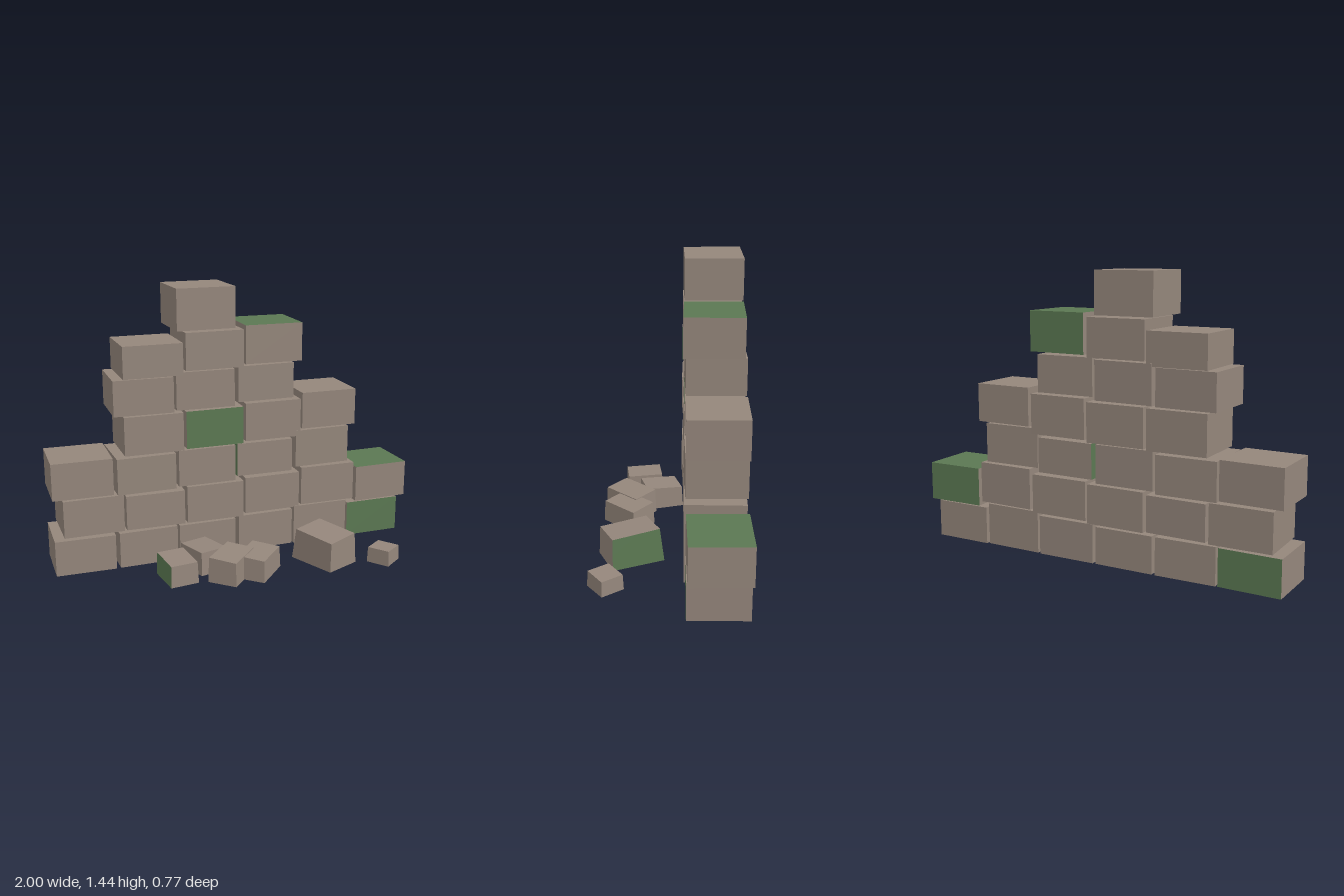
import * as THREE from 'three';

const stone = new THREE.MeshStandardMaterial({ color: 0x94867b });
stone.name = 'stone';
const moss = new THREE.MeshStandardMaterial({ color: 0x5b7852 });
moss.name = 'moss';

// Box face order, used to say which faces are mossy
const FACES = ['right+x', 'left-x', 'top', 'bottom', 'front', 'back'];

function faceMaterials(mossy) {
  return FACES.map((f) => (mossy.some((m) => f.startsWith(m)) ? moss : stone));
}

// A block standing on its base; the top may be narrowed, shifted and sloped
function block(name, [w, h, d], mossy = [], top = {}) {
  const { scale = 1, dx = 0, dz = 0, slopeX = 0, slopeZ = 0 } = top;
  const geo = new THREE.BoxGeometry(w, h, d).translate(0, h / 2, 0);
  const p = geo.attributes.position;
  for (let i = 0; i < p.count; i++) {
    if (p.getY(i) < h / 2) continue;
    const x = p.getX(i), z = p.getZ(i);
    p.setXYZ(i, x * scale + dx, h + x * slopeX + z * slopeZ, z * scale + dz);
  }
  geo.computeVertexNormals();
  const mesh = new THREE.Mesh(geo, faceMaterials(mossy));
  mesh.name = name;
  return mesh;
}

// Courses from the ground up: [x centre, bottom, top, yaw, z centre, mossy faces]
const COURSES = [
  [
    [-0.845, 0, 0.187, -0.02, -0.228, ['back']],
    [-0.517, 0, 0.19, 0.02, -0.23],
    [-0.19, 0, 0.19, 0, -0.232],
    [0.14, 0, 0.2, 0.01, -0.235],
    [0.465, 0, 0.217, -0.01, -0.23],
    [0.79, 0, 0.195, 0, -0.237, ['front']],
  ],
  [
    [-0.797, 0.2, 0.397, 0.005, -0.235],
    [-0.47, 0.203, 0.387, -0.02, -0.228],
    [-0.143, 0.2, 0.4, -0.01, -0.232],
    [0.18, 0.212, 0.412, 0.005, -0.235],
    [0.508, 0.223, 0.435, -0.02, -0.23],
    [0.838, 0.2, 0.4, 0.02, -0.24, ['top', 'back']],
  ],
  [
    [-0.845, 0.408, 0.602, -0.02, -0.228],
    [-0.517, 0.4, 0.592, 0.02, -0.232],
    [-0.19, 0.41, 0.605, 0.01, -0.23],
    [0.138, 0.428, 0.607, -0.01, -0.237, ['left', 'bottom']],
    [0.465, 0.447, 0.65, 0.02, -0.232],
  ],
  [
    [-0.47, 0.604, 0.807, 0, -0.232],
    [-0.143, 0.61, 0.81, 0.005, -0.235, ['front']],
    [0.183, 0.62, 0.825, -0.005, -0.232],
    [0.508, 0.657, 0.855, -0.005, -0.237, ['bottom']],
  ],
  [
    [-0.517, 0.815, 1.0, -0.025, -0.228, ['right']],
    [-0.19, 0.82, 1.018, -0.02, -0.232],
    [0.138, 0.837, 1.027, 0.02, -0.235],
  ],
  [
    [-0.467, 1.003, 1.17, 0, -0.23],
    [-0.143, 1.025, 1.22, 0.005, -0.226],
    [0.183, 1.037, 1.24, -0.02, -0.226, ['top', 'back', 'bottom']],
  ],
  [[-0.188, 1.23, 1.443, 0.015, -0.23]],
];

// Fallen stones: position, size, yaw, mossy faces and top shape
const RUBBLE = [
  { at: [-0.425, 0.14], size: [0.15, 0.115, 0.2], yaw: 0.12, mossy: ['left'], top: { scale: 0.95, slopeZ: -0.03 } },
  { at: [-0.255, 0.04], size: [0.16, 0.118, 0.21], yaw: 0.28, top: { scale: 0.94, slopeZ: 0.05 } },
  { at: [-0.155, 0.205], size: [0.155, 0.128, 0.235], yaw: -0.75, top: { scale: 0.96, slopeX: -0.05 } },
  { at: [-0.012, 0.21], size: [0.16, 0.118, 0.225], yaw: -0.74, top: { scale: 0.95, slopeX: -0.05 } },
  { at: [0.372, 0.18], size: [0.2, 0.165, 0.275], yaw: 0.41, mossy: ['right', 'back'], top: { scale: 0.91, slopeX: 0.06, slopeZ: -0.04, dz: 0.008 } },
  { at: [0.668, 0.292], size: [0.13, 0.08, 0.125], yaw: 0.64, mossy: ['bottom'], top: { scale: 0.95, slopeX: -0.03 } },
];

export function createModel() {
  const model = new THREE.Group();
  model.name = 'ruinedWall';

  // Standing wall
  const wall = new THREE.Group();
  wall.name = 'wall';
  COURSES.forEach((course, row) => {
    const group = new THREE.Group();
    group.name = `course${row + 1}`;
    for (const [x, y0, y1, yaw, z, mossy] of course) {
      const brick = block('brick', [0.312, y1 - y0, 0.296], mossy);
      brick.position.set(x, y0, z);
      brick.rotation.y = yaw;
      group.add(brick);
    }
    wall.add(group);
  });
  model.add(wall);

  // Rubble in front of the wall
  const rubble = new THREE.Group();
  rubble.name = 'rubble';
  for (const { at, size, yaw, mossy, top } of RUBBLE) {
    const piece = block('fallenStone', size, mossy, top);
    piece.position.set(at[0], 0, at[1]);
    piece.rotation.y = yaw;
    rubble.add(piece);
  }
  model.add(rubble);
  return model;
}
